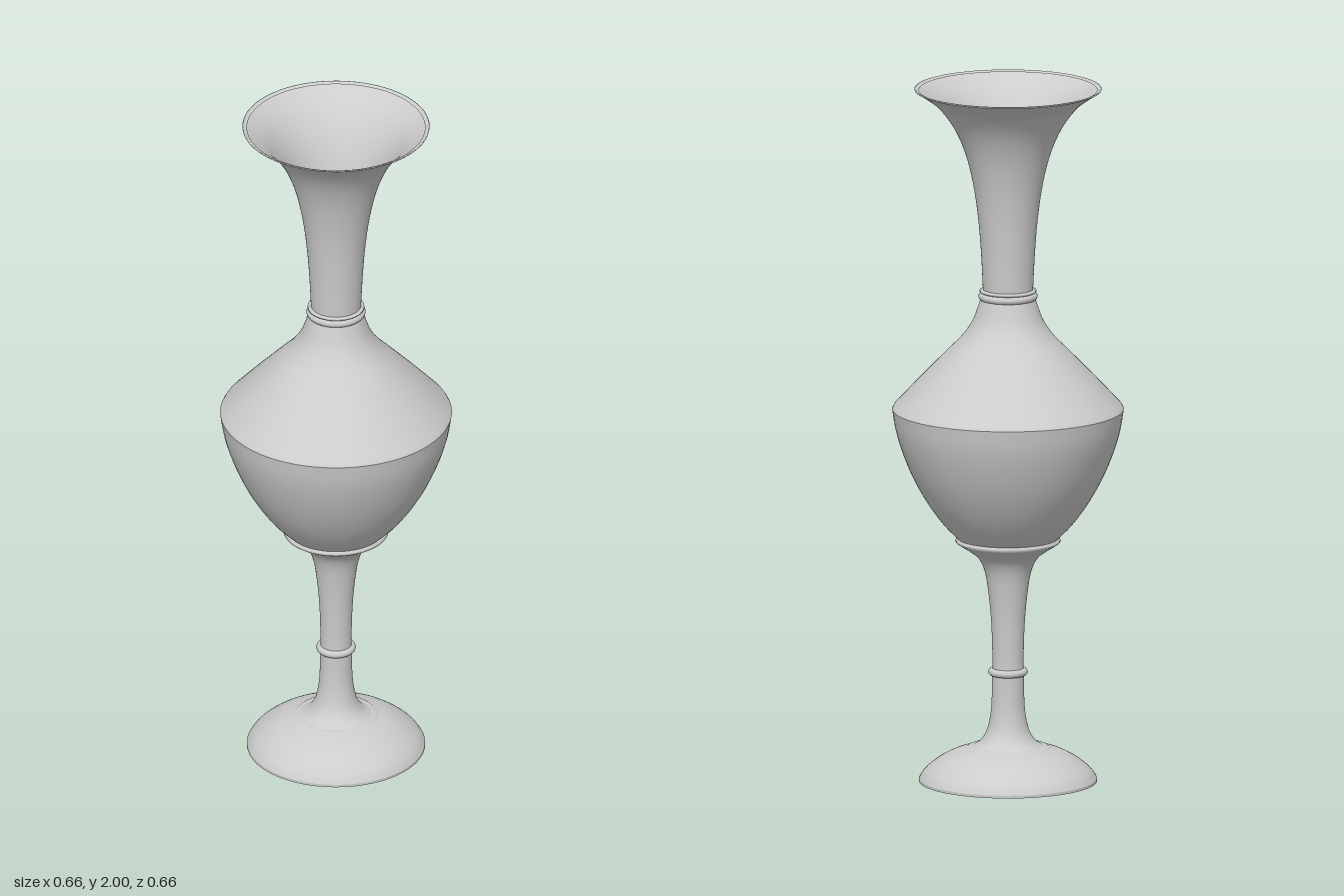
import * as THREE from 'three';

export function createModel() {
  const group = new THREE.Group();
  group.name = 'vase';
  const grey = new THREE.MeshStandardMaterial({ color: 0xcccccc, side: THREE.DoubleSide });
  grey.name = 'light grey';

  // Turns a profile of [radius, height] points, bottom to top; steps > 0 smooths it
  function turn(name, profile, steps = 0) {
    let pts = profile.map(([r, y]) => new THREE.Vector2(r, y));
    if (steps) pts = new THREE.SplineCurve(pts).getPoints(steps);
    const mesh = new THREE.Mesh(new THREE.LatheGeometry(pts, 72), grey);
    mesh.name = name;
    group.add(mesh);
  }

  // Rounded moulding around the outside
  function ring(name, radius, y, tube) {
    const geo = new THREE.TorusGeometry(radius, tube, 12, 72);
    geo.rotateX(Math.PI / 2);
    const mesh = new THREE.Mesh(geo, grey);
    mesh.name = name;
    mesh.position.y = y;
    group.add(mesh);
  }

  // Foot with a shallow recess below
  turn('footRecess', [[0, 0.015], [0.16, 0.015]]);
  turn('footUnderside', [[0.16, 0.015], [0.19, 0.005], [0.252, 0]]);
  turn('footEdge', [[0.252, 0], [0.252, 0.008]]);
  turn('foot', [[0.252, 0.008], [0.235, 0.032], [0.2, 0.06], [0.16, 0.082], [0.118, 0.096]], 16);
  turn('footStep', [[0.118, 0.096], [0.113, 0.1], [0.1, 0.101]]);

  // Stem
  turn('lowerStem', [[0.1, 0.101], [0.078, 0.116], [0.06, 0.146], [0.05, 0.19], [0.046, 0.24], [0.045, 0.315]], 24);
  ring('stemRing', 0.045, 0.315, 0.011);
  turn('upperStem', [[0.045, 0.315], [0.044, 0.35], [0.047, 0.45], [0.055, 0.54], [0.066, 0.605],
    [0.085, 0.645], [0.115, 0.669], [0.142, 0.686]], 32);

  // Collar under the body
  turn('bodyCollar', [[0.142, 0.686], [0.148, 0.69], [0.148, 0.697], [0.142, 0.701]]);

  // Body: bowl, sharp shoulder and concave top
  turn('bowl', [[0.142, 0.701], [0.182, 0.742], [0.225, 0.8], [0.264, 0.868], [0.295, 0.94],
    [0.317, 1.01], [0.328, 1.075]], 32);
  turn('shoulder', [[0.328, 1.075], [0.322, 1.085], [0.25, 1.162], [0.166, 1.248]]);
  turn('shoulderTop', [[0.166, 1.248], [0.13, 1.285], [0.1, 1.33], [0.08, 1.385], [0.072, 1.41]], 20);
  ring('neckRing', 0.073, 1.4, 0.011);
  turn('neckBand', [[0.072, 1.408], [0.08, 1.413], [0.08, 1.418], [0.071, 1.42]]);

  // Flared neck and thin lip
  turn('neck', [[0.071, 1.42], [0.076, 1.52], [0.084, 1.62], [0.098, 1.72], [0.12, 1.81],
    [0.152, 1.885], [0.195, 1.945], [0.235, 1.978], [0.264, 1.996]], 40);
  turn('lip', [[0.264, 1.996], [0.265, 1.999], [0.262, 2], [0.252, 1.995]]);

  return group;
}
